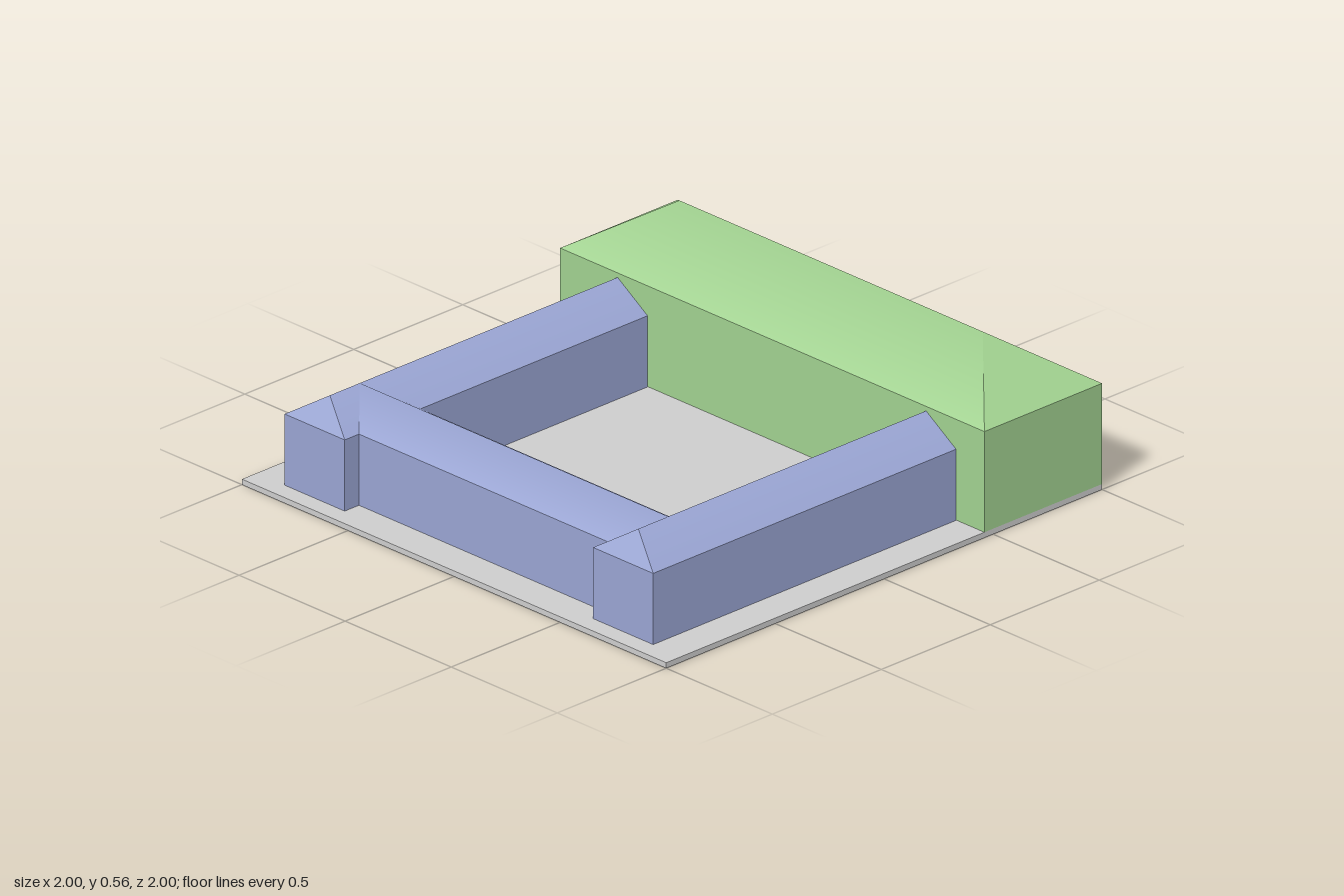
import * as THREE from 'three';

const mat = (name, color) => {
  const m = new THREE.MeshStandardMaterial({ color });
  m.name = name;
  return m;
};

// Roof with its ridge along x. Each end slopes in by its own inset (0 gives a gable).
// The two long slopes blend softly over the ridge; the ends are flat.
function roofGeometry(length, width, rise, insetA, insetB) {
  const l = length / 2, w = width / 2;
  const a = [-l, 0, w], b = [l, 0, w], c = [l, 0, -w], d = [-l, 0, -w];
  const p = [-l + insetA, rise, 0], q = [l - insetB, rise, 0];
  const up = [0, 1, 0];
  const unit = (x, y, z) => new THREE.Vector3(x, y, z).normalize().toArray();
  const front = unit(0, w, rise), back = unit(0, w, -rise);
  const endA = unit(-rise, insetA, 0), endB = unit(rise, insetB, 0);
  const faces = [
    [a, front, b, front, q, up], [a, front, q, up, p, up],
    [c, back, d, back, p, up], [c, back, p, up, q, up],
    [d, endA, a, endA, p, endA], [b, endB, c, endB, q, endB],
  ];
  const pos = [], nor = [];
  for (const f of faces) {
    f.forEach((v, i) => (i % 2 ? nor : pos).push(...v));
  }
  const g = new THREE.BufferGeometry();
  g.setAttribute('position', new THREE.Float32BufferAttribute(pos, 3));
  g.setAttribute('normal', new THREE.Float32BufferAttribute(nor, 3));
  return g;
}

const FLOOR = 0.02;

// A long building: box walls plus a roof, running along its local x
function building(name, material, { length, width, eave, ridge, insetA = 0, insetB = 0 }) {
  const group = new THREE.Group();
  group.name = name;
  const h = eave - FLOOR;
  const walls = new THREE.Mesh(new THREE.BoxGeometry(length, h, width), material);
  walls.name = name + 'Walls';
  walls.position.y = FLOOR + h / 2;
  const roof = new THREE.Mesh(roofGeometry(length, width, ridge - eave, insetA, insetB), material);
  roof.name = name + 'Roof';
  roof.position.y = eave;
  group.add(walls, roof);
  return group;
}

export function createModel() {
  const model = new THREE.Group();
  model.name = 'courtyardHouse';
  const grey = mat('paving grey', 0xcdcdcd);
  const green = mat('hall green', 0xa1d190);
  const blue = mat('wing blue', 0x99a4d2);

  // Ground slab
  const slab = new THREE.Mesh(new THREE.BoxGeometry(2, FLOOR, 2), grey);
  slab.name = 'groundSlab';
  slab.position.y = FLOOR / 2;
  model.add(slab);

  // Tall hall across the back
  const hall = building('mainHall', green, {
    length: 2, width: 0.54, eave: 0.385, ridge: 0.565, insetA: 0.285, insetB: 0.285,
  });
  hall.position.z = -0.73;
  model.add(hall);

  // Side wings, sloped at the front and butting against the hall
  const wing = { width: 0.283, eave: 0.278, ridge: 0.37 };
  for (const [name, side] of [['leftWing', 1], ['rightWing', -1]]) {
    const w = building(name, blue, { ...wing, length: 1.39, insetB: 0.07 });
    w.rotation.y = -Math.PI / 2;
    w.position.set(side * 0.727, 0, 0.237);
    model.add(w);
  }

  // Front wing joining the two side wings
  const frontWing = building('frontWing', blue, { ...wing, length: 1.454 });
  frontWing.position.z = 0.725;
  model.add(frontWing);

  return model;
}
